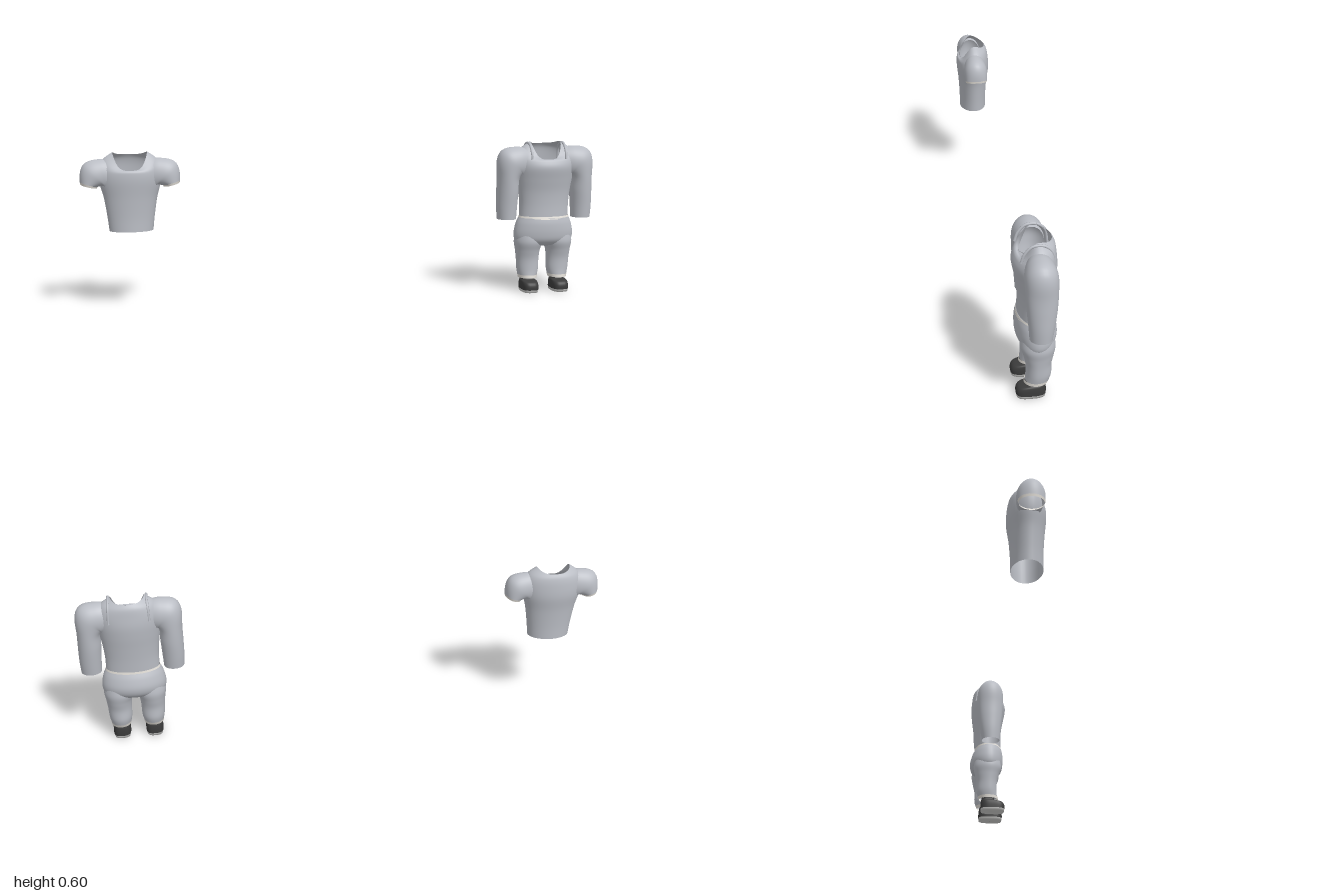
import * as THREE from 'three';

const fabric = new THREE.MeshStandardMaterial({ name: 'grey fabric', color: 0xbabdc4, side: THREE.DoubleSide });
const trim = new THREE.MeshStandardMaterial({ name: 'pale trim', color: 0xf0ece5, side: THREE.DoubleSide });
const leather = new THREE.MeshStandardMaterial({ name: 'dark leather', color: 0x3c3c3c, side: THREE.DoubleSide });
const rubber = new THREE.MeshStandardMaterial({ name: 'pale rubber', color: 0xd2d2d0, side: THREE.DoubleSide });

const SEG = 40;

function spline(a, b, c, d, t) {
  return 0.5 * (2 * b + (c - a) * t + (2 * a - 5 * b + 4 * c - d) * t * t + (3 * b - a - 3 * c + d) * t * t * t);
}

// Skins rings: [x, y, z, radius across, radius front, radius back, tilt in degrees, front dip, back dip]
function loft(name, sections, mat, { mirror = 1, steps = 6, power = 1 } = {}) {
  const full = sections.map((s) => Array.from({ length: 9 }, (_, k) => s[k] ?? 0));
  const at = (i) => full[Math.min(Math.max(i, 0), full.length - 1)];
  const rings = [];
  for (let i = 0; i < full.length - 1; i++) {
    for (let j = 0; j < steps; j++) {
      rings.push(full[i].map((v, k) => spline(at(i - 1)[k], v, at(i + 1)[k], at(i + 2)[k], j / steps)));
    }
  }
  rings.push(full[full.length - 1]);

  const pos = [];
  const index = [];
  for (const [x, y, z, ru, rf, rb, tilt, dipF, dipB] of rings) {
    const r = THREE.MathUtils.degToRad(tilt);
    for (let k = 0; k < SEG; k++) {
      const a = (k / SEG) * Math.PI * 2;
      const c = Math.cos(a);
      const s = Math.sin(a);
      const u = Math.sign(c) * Math.abs(c) ** power * ru;
      const w = Math.sign(s) * Math.abs(s) ** power * (s > 0 ? rf : rb);
      const dip = (1 - c ** 4) * (s > 0 ? dipF : dipB);
      pos.push(mirror * (x + u * Math.cos(r)), y + u * Math.sin(r) - dip, z + w);
    }
  }
  // Keep the faces outward whichever way the rings travel
  const [p, q] = full;
  const t0 = THREE.MathUtils.degToRad(p[6]);
  const outward = ((q[1] - p[1]) * Math.cos(t0) - (q[0] - p[0]) * Math.sin(t0)) * mirror > 0;
  for (let i = 0; i < rings.length - 1; i++) {
    for (let k = 0; k < SEG; k++) {
      const a = i * SEG + k;
      const b = i * SEG + ((k + 1) % SEG);
      const c = a + SEG;
      const d = b + SEG;
      if (outward) index.push(a, c, b, b, c, d);
      else index.push(a, b, c, b, d, c);
    }
  }
  const geo = new THREE.BufferGeometry();
  geo.setAttribute('position', new THREE.Float32BufferAttribute(pos, 3));
  geo.setIndex(index);
  geo.computeVertexNormals();
  const mesh = new THREE.Mesh(geo, mat);
  mesh.name = name;
  return mesh;
}

function buildTShirt() {
  const g = new THREE.Group();
  g.name = 'shortSleeveShirt';
  g.add(loft('shirtBody', [
    [0, 0.297, 0, 0.081, 0.054, 0.055],
    [0, 0.35, 0, 0.087, 0.054, 0.056],
    [0, 0.42, 0, 0.098, 0.058, 0.061],
    [0, 0.48, 0, 0.113, 0.064, 0.069],
    [0, 0.53, 0, 0.113, 0.064, 0.067, 0, 0.018, 0.002],
    [0, 0.565, 0, 0.098, 0.061, 0.061, 0, 0.042, 0.006],
    [0, 0.59, 0, 0.064, 0.056, 0.052, 0, 0.064, 0.014],
  ], fabric));
  for (const mirror of [1, -1]) {
    g.add(loft('shortSleeve', [
      [0.08, 0.503, 0, 0.06, 0.042, 0.043, 90],
      [0.1, 0.507, 0, 0.06, 0.045, 0.046, 78],
      [0.13, 0.503, 0, 0.059, 0.048, 0.048, 46],
      [0.151, 0.473, 0, 0.034, 0.045, 0.045, 15],
    ], fabric, { mirror }));
    g.add(loft('sleeveHem', [
      [0.151, 0.474, 0, 0.034, 0.0455, 0.0455, 15],
      [0.152, 0.466, 0, 0.031, 0.043, 0.043, 14],
    ], trim, { mirror, steps: 2 }));
  }
  return g;
}

function buildOutfit() {
  const g = new THREE.Group();
  g.name = 'fullOutfit';
  // Long-sleeved top
  g.add(loft('topBody', [
    [0, 0.302, 0, 0.1, 0.058, 0.055],
    [0, 0.35, 0, 0.1, 0.057, 0.058],
    [0, 0.4, 0, 0.105, 0.06, 0.063],
    [0, 0.45, 0, 0.113, 0.069, 0.069],
    [0, 0.495, 0, 0.12, 0.077, 0.072],
    [0, 0.535, 0, 0.12, 0.07, 0.069, 0, 0.014, 0.001],
    [0, 0.57, 0, 0.1, 0.062, 0.064, 0, 0.04, 0.004],
    [0, 0.596, 0, 0.062, 0.055, 0.054, 0, 0.067, 0.012],
  ], fabric));
  g.add(loft('waistband', [
    [0, 0.292, 0, 0.104, 0.063, 0.058],
    [0, 0.303, 0, 0.101, 0.06, 0.057],
  ], trim, { steps: 2 }));

  // Trousers
  g.add(loft('trouserSeat', [
    [0, 0.296, 0, 0.103, 0.062, 0.057],
    [0, 0.272, 0, 0.113, 0.066, 0.068],
    [0, 0.237, 0, 0.12, 0.066, 0.076],
    [0, 0.208, 0, 0.117, 0.06, 0.069],
    [0, 0.188, 0, 0.1, 0.042, 0.048],
    [0, 0.182, 0, 0.04, 0.02, 0.024],
  ], fabric));

  for (const mirror of [1, -1]) {
    g.add(loft('longSleeve', [
      [0.08, 0.512, 0, 0.06, 0.045, 0.045, 90],
      [0.108, 0.515, 0, 0.063, 0.052, 0.051, 78],
      [0.138, 0.508, 0, 0.066, 0.056, 0.054, 45],
      [0.15, 0.46, 0, 0.045, 0.054, 0.053, 8],
      [0.152, 0.4, 0, 0.043, 0.05, 0.05],
      [0.154, 0.34, 0, 0.041, 0.044, 0.043],
      [0.154, 0.292, 0, 0.038, 0.04, 0.036],
    ], fabric, { mirror }));

    // Raised seam over the shoulder
    const path = new THREE.CatmullRomCurve3([
      [0.069, 0.53, 0.056], [0.07, 0.56, 0.046], [0.07, 0.587, 0.02],
      [0.07, 0.588, -0.018], [0.072, 0.565, -0.045], [0.074, 0.51, -0.055],
    ].map(([x, y, z]) => new THREE.Vector3(x * mirror, y, z)));
    const seam = new THREE.Mesh(new THREE.TubeGeometry(path, 32, 0.005, 8), fabric);
    seam.name = 'shoulderSeam';
    g.add(seam);

    g.add(loft('trouserLeg', [
      [0.06, 0.238, 0, 0.05, 0.05, 0.058],
      [0.06, 0.2, 0, 0.057, 0.055, 0.064],
      [0.063, 0.165, 0, 0.049, 0.045, 0.058],
      [0.063, 0.13, 0, 0.045, 0.037, 0.051],
      [0.062, 0.09, 0, 0.043, 0.036, 0.051],
      [0.062, 0.064, 0, 0.038, 0.038, 0.044],
    ], fabric, { mirror }));
    g.add(loft('trouserCuff', [
      [0.062, 0.066, 0, 0.039, 0.041, 0.045],
      [0.062, 0.054, 0, 0.037, 0.042, 0.039],
    ], trim, { mirror, steps: 2 }));

    // Shoe
    g.add(loft('shoeSole', [
      [0.062, 0, 0.018, 0.001, 0.001, 0.001],
      [0.062, 0.0005, 0.018, 0.031, 0.049, 0.049],
      [0.062, 0.011, 0.018, 0.033, 0.051, 0.051],
    ], rubber, { mirror, steps: 1, power: 0.65 }));
    g.add(loft('shoeUpper', [
      [0.062, 0.011, 0.018, 0.033, 0.051, 0.051],
      [0.062, 0.028, 0.018, 0.033, 0.051, 0.051],
      [0.062, 0.041, 0.016, 0.031, 0.044, 0.048],
      [0.062, 0.046, 0.006, 0.028, 0.034, 0.037],
      [0.062, 0.05, -0.002, 0.025, 0.029, 0.028],
      [0.062, 0.066, -0.002, 0.025, 0.028, 0.026],
    ], leather, { mirror, steps: 3, power: 0.65 }));
  }
  return g;
}

export function createModel() {
  const model = new THREE.Group();
  model.name = 'clothingSet';
  const shirt = buildTShirt();
  shirt.position.x = -0.815;
  const outfit = buildOutfit();
  outfit.position.x = 0.803;
  model.add(shirt, outfit);
  return model;
}
